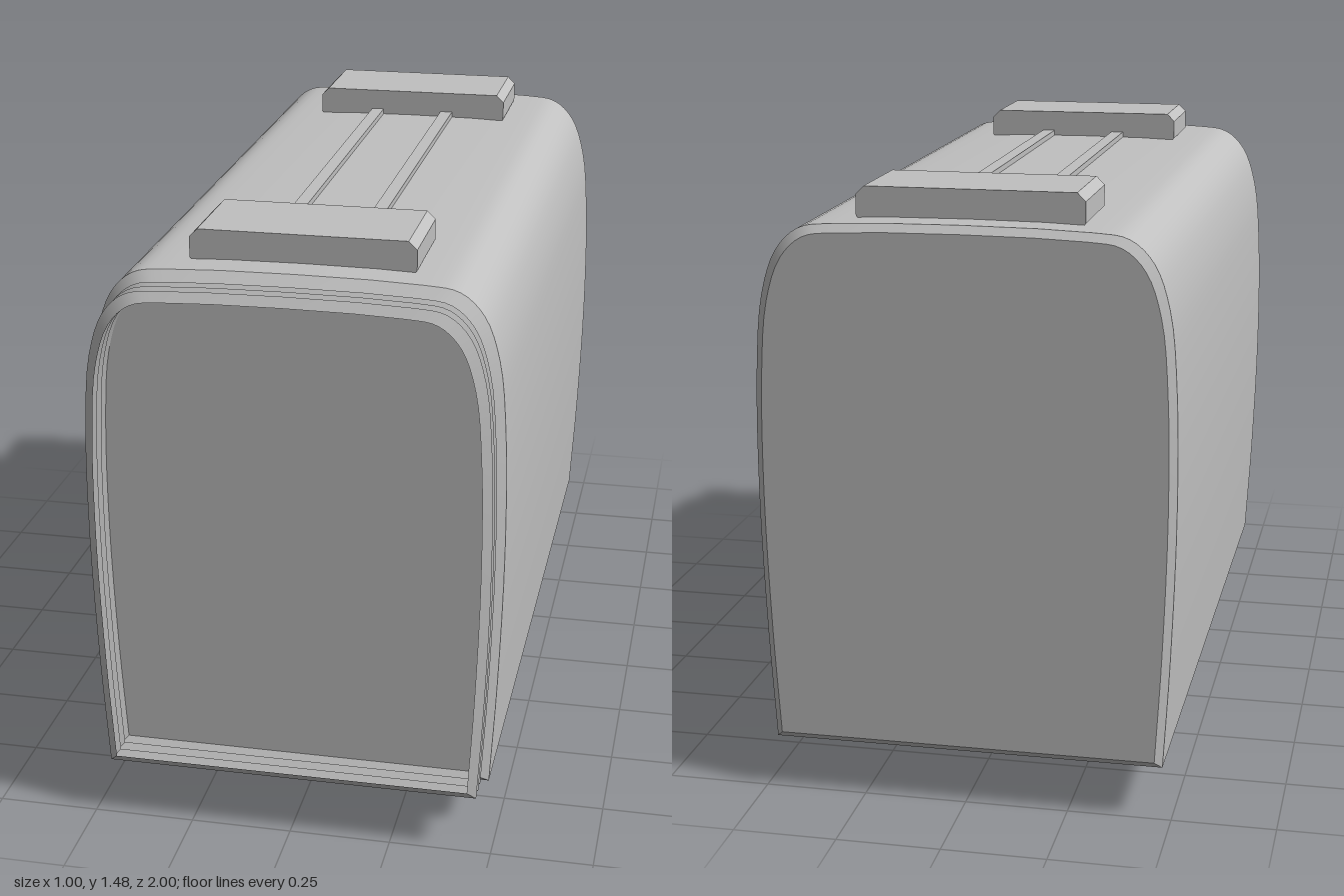
import * as THREE from 'three';
import { toCreasedNormals } from 'three/addons/utils/BufferGeometryUtils.js';

const shell = new THREE.MeshStandardMaterial({ color: 0xc0c0c0 });
shell.name = 'grey';
shell.side = THREE.DoubleSide;

const BOTTOM = 0.125, TOP = 1.4;

// Arched cross-section, counter-clockwise seen from the front, shrunk by an inset
function section(inset) {
  const half = [[0.475, BOTTOM], [0.49, 0.4], [0.5, 0.75], [0.495, 1.05], [0.477, 1.23],
    [0.44, 1.335], [0.385, 1.387], [0.3, TOP]];
  const all = [...half, ...half.map(([x, y]) => [-x, y]).reverse()];
  const curve = new THREE.CatmullRomCurve3(all.map(([x, y]) => new THREE.Vector3(x, y, 0)), false, 'centripetal');
  const sy = (TOP - BOTTOM - 2 * inset) / (TOP - BOTTOM);
  return curve.getPoints(60).map(p =>
    new THREE.Vector2(p.x * (1 - inset / 0.5), BOTTOM + inset + (p.y - BOTTOM) * sy));
}

// Skin through cross-sections given as [z, inset], back to front
function loft(rings, crease) {
  const pos = [], index = [];
  const n = section(0).length;
  for (const [z, inset] of rings) for (const p of section(inset)) pos.push(p.x, p.y, z);
  for (let r = 0; r < rings.length - 1; r++) {
    for (let i = 0; i < n; i++) {
      const a = r * n + i, b = r * n + (i + 1) % n;
      index.push(a, b, b + n, a, b + n, a + n);
    }
  }
  const g = new THREE.BufferGeometry();
  g.setAttribute('position', new THREE.Float32BufferAttribute(pos, 3));
  g.setIndex(index);
  return toCreasedNormals(g, crease);
}

export function createModel() {
  const model = new THREE.Group();
  model.name = 'carriage';
  const add = (name, geometry, x = 0, y = 0, z = 0) => {
    const mesh = new THREE.Mesh(geometry, shell);
    mesh.name = name;
    mesh.position.set(x, y, z);
    model.add(mesh);
    return mesh;
  };

  // Body with bevelled ends and flat end walls
  add('body', loft([[-1, 0.018], [-0.982, 0], [0.872, 0], [0.9, 0.025]], 0.5));
  const back = new THREE.ShapeGeometry(new THREE.Shape(section(0.018)));
  back.rotateY(Math.PI);
  add('backWall', back, 0, 0, -1);
  add('frontWall', new THREE.ShapeGeometry(new THREE.Shape(section(0.025))), 0, 0, 0.9);

  // Open pleated bellows around the recessed front wall
  const pleats = [];
  for (let i = 0; i <= 6; i++) pleats.push([0.9 + i / 60, i % 2 ? 0.016 : 0.038]);
  add('bellows', loft(pleats, 0.5));

  // Roof boxes with clipped corners
  const w = 0.27, low = 1.385, high = 1.475, c = 0.02;
  const box = new THREE.Shape([[-w + c, low], [w - c, low], [w, low + c], [w, high - c],
    [w - c, high], [-w + c, high], [-w, high - c], [-w, low + c]].map(p => new THREE.Vector2(...p)));
  for (const z of [-0.9, 0.54]) {
    add('roofBox', new THREE.ExtrudeGeometry(box, { depth: 0.25, bevelEnabled: false }), 0, 0, z);
  }

  // Roof rails between the boxes
  for (const side of [-1, 1]) {
    add('roofRail', new THREE.BoxGeometry(0.034, 0.03, 1.2), side * 0.102, 1.405, -0.055);
  }

  // Axles and domed wheels
  const wheelProfile = [[0, 0], [0.115, 0], [0.13, 0.015], [0.115, 0.045], [0.09, 0.053], [0, 0.056]]
    .map(p => new THREE.Vector2(...p));
  for (const z of [0.33, -0.43]) {
    add('axle', new THREE.BoxGeometry(0.75, 0.02, 0.02), 0, 0.125, z);
    for (const side of [-1, 1]) {
      const wheel = new THREE.LatheGeometry(wheelProfile, 14);
      wheel.rotateY(Math.PI / 14 * 7);
      wheel.rotateZ(-side * Math.PI / 2);
      add(side > 0 ? 'leftWheel' : 'rightWheel', toCreasedNormals(wheel, 0.7), side * 0.288, 0.13, z);
    }
  }
  return model;
}
